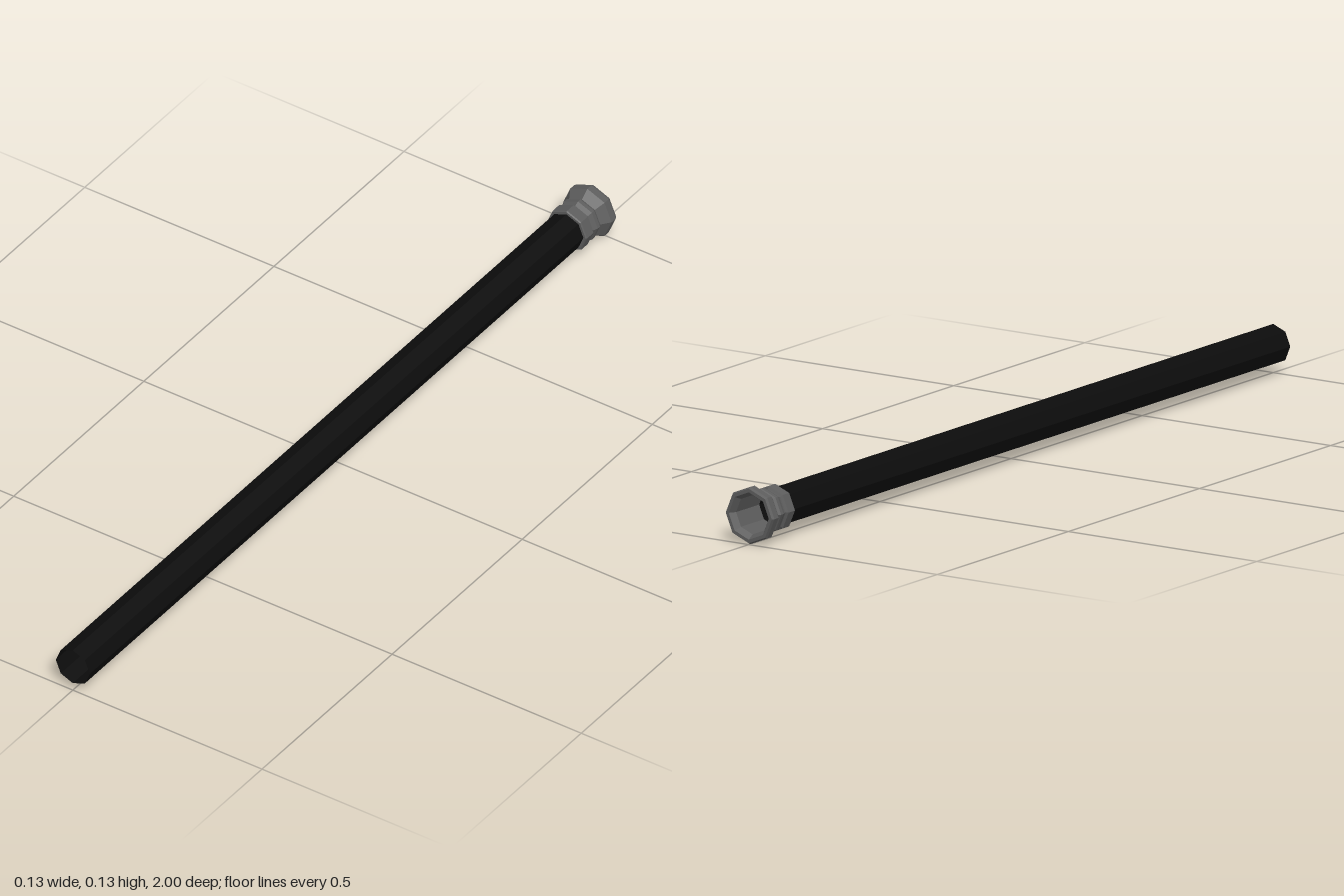
import * as THREE from 'three';

const SIDES = 8;
const AXIS_Y = 0.064;

export function createModel() {
  const black = new THREE.MeshStandardMaterial({ color: 0x0c0c0c, flatShading: true, side: THREE.DoubleSide });
  black.name = 'black tube';
  const grey = new THREE.MeshStandardMaterial({ color: 0x5c5c5c, flatShading: true });
  grey.name = 'grey metal';

  const model = new THREE.Group();
  model.name = 'barrel';

  // Turns a closed or open profile of [radius, z] points around the z axis
  function turned(name, profile, material) {
    const points = profile.map(([r, z]) => new THREE.Vector2(r, z));
    const geometry = new THREE.LatheGeometry(points, SIDES);
    geometry.rotateX(Math.PI / 2);
    const mesh = new THREE.Mesh(geometry, material);
    mesh.name = name;
    mesh.position.y = AXIS_Y;
    model.add(mesh);
  }

  // Long thin-walled tube, open at both ends
  turned('tube', [[0.045, -0.9], [0.045, 1]], black);

  // Flared muzzle collar: rim, waist, middle ridge, front ring, then the bore
  turned('muzzleCollar', [
    [0.044, -0.985], [0.053, -1], [0.061, -1],
    [0.064, -0.994], [0.064, -0.978], [0.048, -0.957],
    [0.052, -0.951], [0.052, -0.942], [0.047, -0.931],
    [0.047, -0.927], [0.053, -0.924], [0.053, -0.9],
    [0.051, -0.897], [0.044, -0.897], [0.044, -0.985],
  ], grey);

  return model;
}
